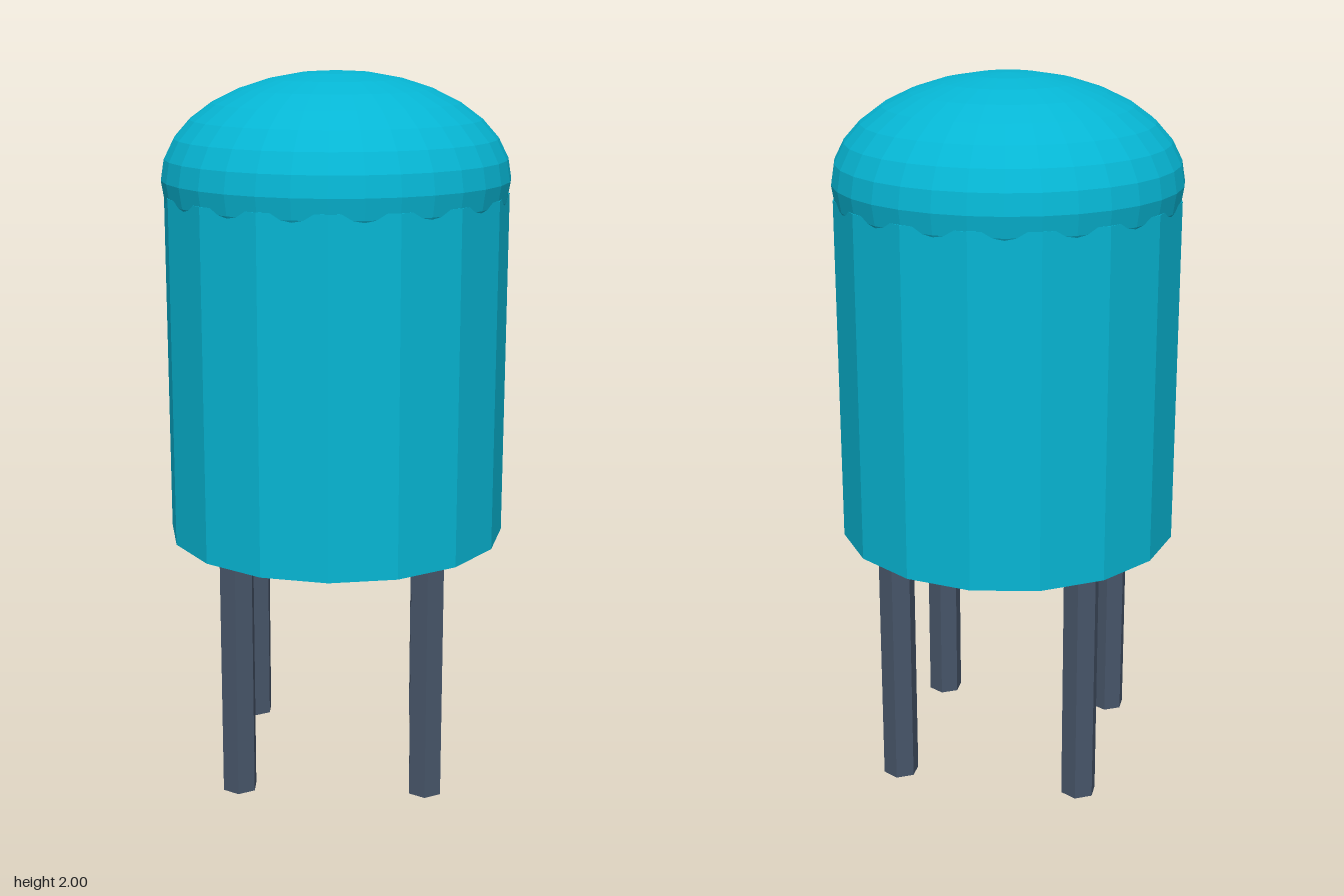
import * as THREE from 'three';

export function createModel() {
  const model = new THREE.Group();
  const shell = new THREE.MeshStandardMaterial({ color: 0x06b6d4, flatShading: true });
  const metal = new THREE.MeshStandardMaterial({ color: 0x475569, flatShading: true });

  const add = (name, geometry, material, x, y, z) => {
    const mesh = new THREE.Mesh(geometry, material);
    mesh.name = name;
    mesh.position.set(x, y, z);
    model.add(mesh);
    return mesh;
  };

  // Sixteen-sided drum
  const bottom = 0.7, top = 1.67;
  add('body', new THREE.CylinderGeometry(0.478, 0.478, top - bottom, 16), shell, 0, (bottom + top) / 2, 0);

  // Flattened dome, its lower rim tucked just inside the drum
  const dome = new THREE.SphereGeometry(0.481, 32, 10, 0, Math.PI * 2, 0, Math.PI * 10 / 16);
  dome.scale(1, 0.29 / 0.481, 1);
  add('dome', dome, shell, 0, 1.71, 0);

  // Four hexagonal legs
  const leg = new THREE.CylinderGeometry(0.051, 0.051, bottom, 6);
  for (const [side, x] of [['Left', 0.264], ['Right', -0.264]]) {
    for (const [end, z] of [['front', 0.264], ['back', -0.264]]) {
      add(`${end}${side}Leg`, leg, metal, x, bottom / 2, z);
    }
  }

  return model;
}
